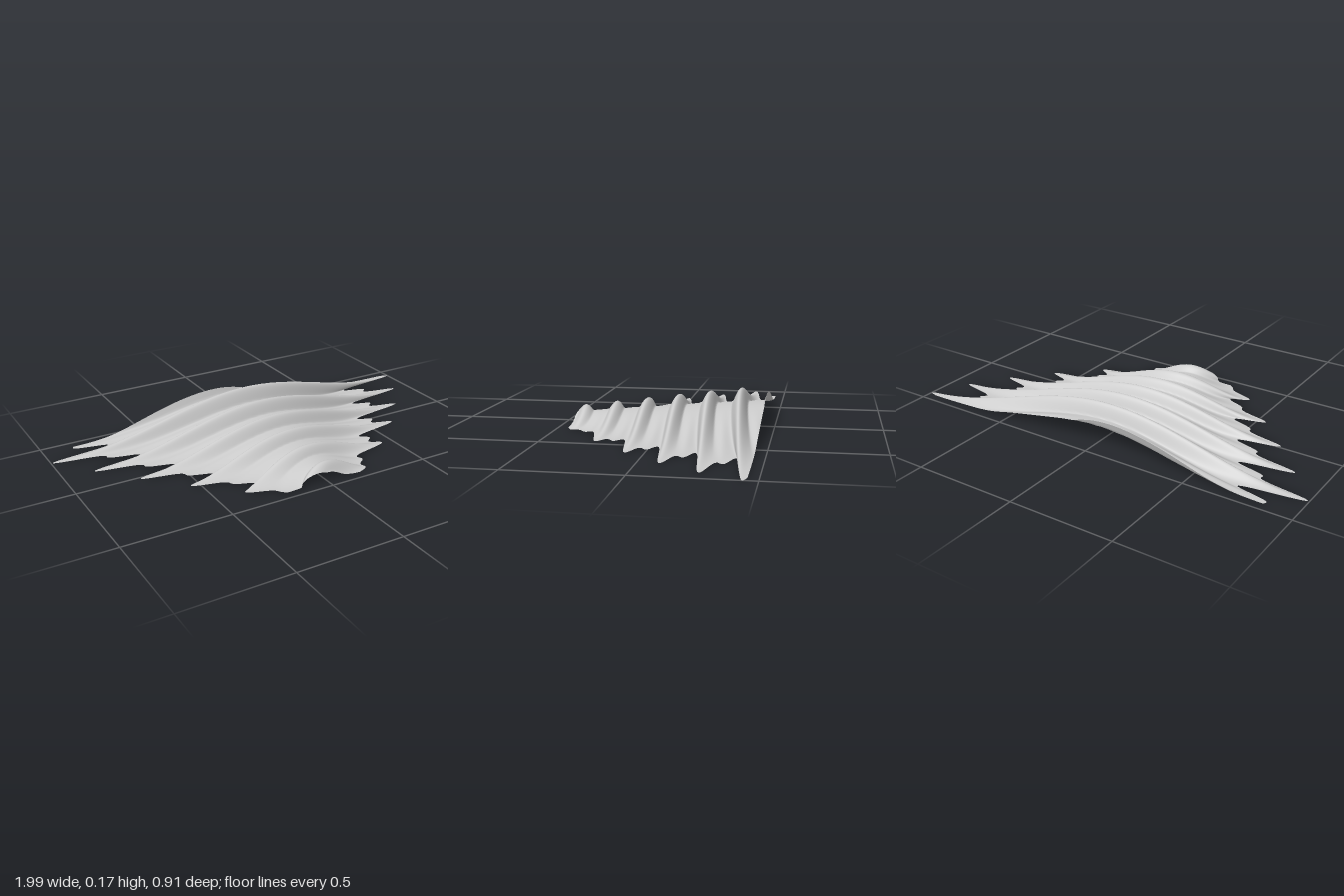
import * as THREE from 'three';

const DEPTH = 0.91, PERIOD = 0.15, FIRST_RIDGE = 0.415;

// half width of the shell at the ridge tips, slightly wider on the right side
function reach(u, z) {
  return 0.72 - 0.9 * z - 0.57 * z * z + 0.35 * z * z * Math.max(0, -u);
}

// ridge phase in radians: ridges sweep across and fan out toward the edges
function ridgePhase(u, z) {
  const z0 = (z + 0.0475 * u - 0.0033 * u * u) / (1 + 0.167 * u * u);
  return 2 * Math.PI * (z0 - FIRST_RIDGE) / PERIOD;
}

// point on the shell for u in -1..1 across and z along the depth
function shellPoint(u, z) {
  const p = ridgePhase(u, z);
  const edge = 0.82 + 0.1 * Math.cos(p) + 0.07 * Math.cos(2 * p) - 0.06 * u * Math.sin(p);
  const ridge = 0.6 + 0.4 * Math.max(0, Math.cos(p));
  const bell = (1 + Math.cos(Math.PI * u)) / 2;
  return [u * reach(u, z) * edge, (0.128 - 0.121 * z) * ridge * bell, z];
}

export function createModel() {
  const group = new THREE.Group();
  group.name = 'ridgedCanopy';
  const paleGrey = new THREE.MeshStandardMaterial({ color: 0xcccccc, side: THREE.DoubleSide });
  paleGrey.name = 'paleGrey';

  // one thin open sheet, bent into swept ridges
  const geometry = new THREE.PlaneGeometry(2, DEPTH, 120, 200);
  geometry.rotateX(-Math.PI / 2);
  const pos = geometry.attributes.position;
  for (let i = 0; i < pos.count; i++) {
    pos.setXYZ(i, ...shellPoint(pos.getX(i), pos.getZ(i)));
  }
  geometry.computeVertexNormals();

  const shell = new THREE.Mesh(geometry, paleGrey);
  shell.name = 'roofShell';
  group.add(shell);
  return group;
}
